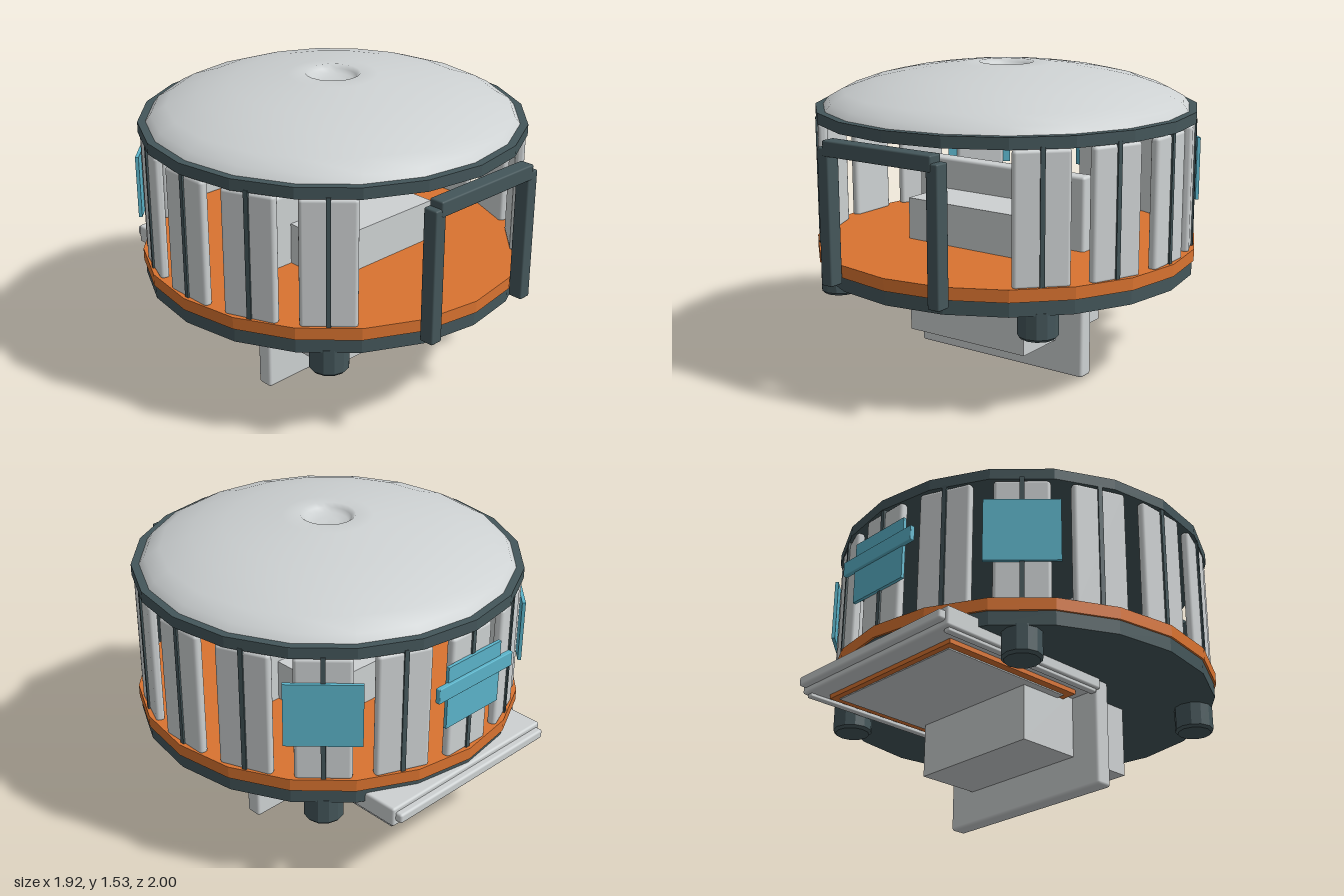
import * as THREE from 'three';
import { toCreasedNormals } from 'three/addons/utils/BufferGeometryUtils.js';
import { RoundedBoxGeometry } from 'three/addons/geometries/RoundedBoxGeometry.js';

const paint = (name, color) => {
  const m = new THREE.MeshStandardMaterial({ color });
  m.name = name;
  return m;
};

export function createModel() {
  const grey = paint('paleGrey', 0xcdd1d2);
  const dark = paint('darkSlate', 0x44565a);
  const orange = paint('orange', 0xd97330);
  const blue = paint('glassBlue', 0x5bb4ca);

  const model = new THREE.Group();
  model.name = 'roundCabin';

  const add = (name, geo, mat, x, y, z, parent = model) => {
    const mesh = new THREE.Mesh(geo, mat);
    mesh.name = name;
    mesh.position.set(x, y, z);
    parent.add(mesh);
    return mesh;
  };
  // box given by its limits on each axis, with softened edges when r > 0
  const block = (name, mat, [x0, x1], [y0, y1], [z0, z1], r = 0, parent = model) => {
    const s = [x1 - x0, y1 - y0, z1 - z0];
    const geo = r ? new RoundedBoxGeometry(...s, 2, r) : new THREE.BoxGeometry(...s);
    return add(name, geo, mat, (x0 + x1) / 2, (y0 + y1) / 2, (z0 + z1) / 2, parent);
  };
  // faceted upright disc
  const disc = (name, mat, r, y0, y1, sides, x = 0, z = 0) =>
    add(name, toCreasedNormals(new THREE.CylinderGeometry(r, r, y1 - y0, sides), 0.25), mat, x, (y0 + y1) / 2, z);
  // group turned about the centre, so +z points outwards
  const spoke = (name, angle) => {
    const g = new THREE.Group();
    g.name = name;
    g.rotation.y = angle;
    model.add(g);
    return g;
  };

  // floor and roof rims
  disc('floorBase', dark, 0.95, 0.52, 0.59, 20);
  disc('floorDeck', orange, 0.96, 0.59, 0.65, 20);
  disc('roofRim', dark, 0.95, 1.27, 1.325, 20);

  // domed roof with a dimple in the middle
  const profile = [
    [0.915, 1.32], [0.885, 1.36], [0.81, 1.402], [0.66, 1.455], [0.5, 1.49],
    [0.35, 1.512], [0.22, 1.527], [0.135, 1.533], [0.115, 1.515], [0.1, 1.495], [0.05, 1.49], [0, 1.488],
  ].map(([r, y]) => new THREE.Vector2(r, y));
  add('domeRoof', new THREE.LatheGeometry(profile, 20), grey, 0, 0, 0);

  // wall panels and outer posts, left open at the front
  const step = Math.PI / 8;
  for (let i = 2; i <= 14; i++) {
    const g = spoke('wallSection', i * step);
    block('wallPanel', grey, [-0.132, 0.132], [0.64, 1.268], [0.89, 0.935], 0.018, g);
    block('wallPost', dark, [-0.011, 0.011], [0.64, 1.28], [0.92, 0.944], 0, g);
  }

  // three rear windows, the middle one with a cross bar
  for (const i of [6, 8, 10]) {
    const g = spoke('window', i * step);
    block('windowPane', blue, [-0.178, 0.178], [0.835, 1.152], [0.938, 0.955], 0, g);
    if (i === 8) block('windowBar', blue, [-0.25, 0.25], [1.0, 1.075], [0.945, 0.97], 0.004, g);
  }

  // door frame
  for (const s of [-1, 1]) {
    add('doorJamb', new RoundedBoxGeometry(0.065, 0.655, 0.075, 2, 0.008), dark, s * 0.315, 0.8925, 0.96);
  }
  block('doorLintel', dark, [-0.313, 0.313], [1.18, 1.255], [0.925, 1.0], 0.008);

  // feet
  for (const x of [-0.6, 0.6]) {
    for (const z of [-0.6, 0.6]) {
      disc('foot', dark, 0.095, 0.405, 0.53, 12, x, z);
      const bevel = new THREE.CylinderGeometry(0.095, 0.083, 0.013, 12);
      add('footBevel', toCreasedNormals(bevel, 0.25), dark, x, 0.3985, z);
    }
  }

  // upright slab and the block through the floor
  block('uprightSlab', grey, [-0.505, 0.505], [0, 1.02], [-0.015, 0.07], 0.015);
  block('coreBlock', grey, [-0.35, 0.35], [0.17, 0.86], [-0.34, 0.35]);

  // rear hatch: tray, end bar and layered underside
  block('hatchTray', grey, [-0.52, 0.52], [0.468, 0.565], [-0.965, 0], 0.012);
  block('hatchEndBar', grey, [-0.505, 0.505], [0.495, 0.543], [-1.0, -0.955], 0.012);
  for (const s of [-1, 1]) {
    add('hatchRail', new RoundedBoxGeometry(0.035, 0.03, 0.93, 2, 0.006), grey, s * 0.49, 0.467, -0.48);
  }
  block('hatchSeal', orange, [-0.43, 0.43], [0.446, 0.47], [-0.87, -0.08]);
  block('hatchPanel', grey, [-0.39, 0.39], [0.44, 0.47], [-0.84, -0.12]);

  return model;
}
